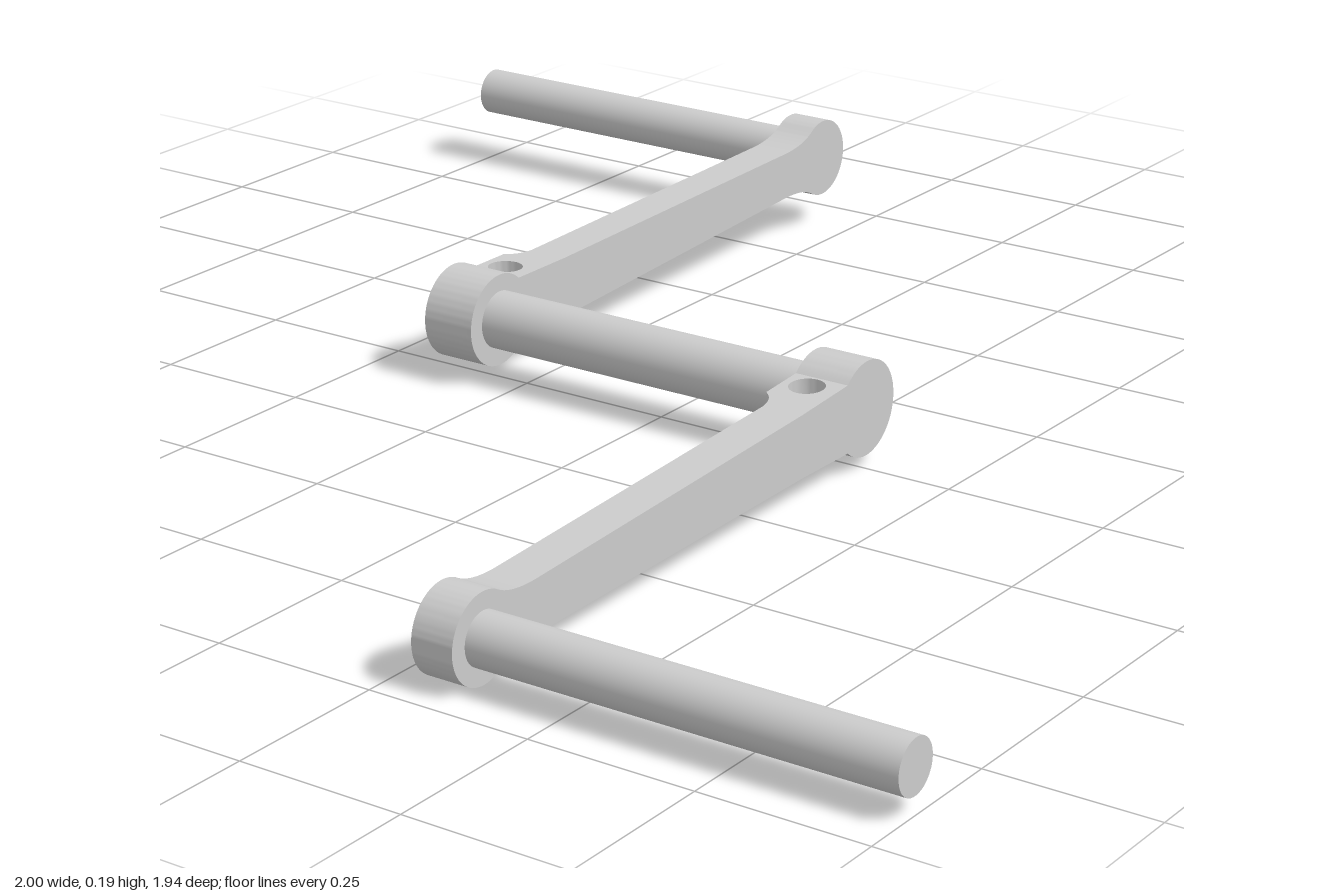
import * as THREE from 'three';
import { toCreasedNormals } from 'three/addons/utils/BufferGeometryUtils.js';

const material = new THREE.MeshStandardMaterial({ color: 0xcccccc });
const AXLE_Y = 0.094, ARM_LENGTH = 0.905, TILT = 0.031;
const HUB_R = 0.0725, END_R = 0.0645;
const OUTER_X = 0.36, HUB_X = 0.272, ARM_X = 0.295;

function add(parent, name, geometry) {
  const mesh = new THREE.Mesh(geometry, material);
  mesh.name = name;
  parent.add(mesh);
  return mesh;
}

// Side profile drawn in (z, y), extruded from innerX out to OUTER_X
function sideExtrude(shape, innerX) {
  const g = new THREE.ExtrudeGeometry(shape, { depth: OUTER_X - innerX, bevelEnabled: false, curveSegments: 28 });
  g.rotateY(-Math.PI / 2).translate(OUTER_X, 0, 0);
  return toCreasedNormals(g, 0.4);
}

// Round bar along x
function bar(parent, name, x0, x1, radius, y, z) {
  const g = new THREE.CylinderGeometry(radius, radius, x1 - x0, 48).rotateZ(Math.PI / 2);
  add(parent, name, g).position.set((x0 + x1) / 2, y, z);
}

// Crank arm running from the axle (local origin) along +z
function crankArm(name) {
  const arm = new THREE.Group();
  arm.name = name;

  // Rounded hub end, up to the drilled block
  const z0 = 0.05, z1 = 0.17;
  const h0 = Math.sqrt(HUB_R ** 2 - z0 ** 2), h1 = 0.048;
  const a0 = Math.atan2(h0, z0);
  const hub = new THREE.Shape();
  hub.absarc(0, 0, HUB_R, a0, 2 * Math.PI - a0, false);
  hub.closePath();
  add(arm, 'axleHub', sideExtrude(hub, HUB_X));

  // Drilled block, stepping in to the thinner arm; its height tapers along z
  const plan = new THREE.Shape();
  plan.moveTo(HUB_X, z0);
  plan.lineTo(OUTER_X, z0);
  plan.lineTo(OUTER_X, z1);
  plan.lineTo(ARM_X, z1);
  plan.quadraticCurveTo(ARM_X - 0.002, 0.142, HUB_X, 0.127);
  plan.closePath();
  const hole = new THREE.Path();
  hole.absarc(0.311, 0.081, 0.027, 0, 2 * Math.PI, true);
  plan.holes.push(hole);
  const block = new THREE.ExtrudeGeometry(plan, { depth: 2, bevelEnabled: false, curveSegments: 16 });
  block.rotateX(Math.PI / 2).translate(0, 1, 0);
  const p = block.attributes.position;
  for (let i = 0; i < p.count; i++) {
    const t = (p.getZ(i) - z0) / (z1 - z0);
    p.setY(i, p.getY(i) * THREE.MathUtils.lerp(h0, h1, t));
  }
  add(arm, 'drilledBlock', toCreasedNormals(block, 0.5));

  // Tapered beam flaring into the round handle end
  const dz = 0.035, hEnd = Math.sqrt(END_R ** 2 - dz ** 2);
  const a1 = Math.atan2(hEnd, -dz);
  const beam = new THREE.Shape();
  beam.moveTo(z1, -h1);
  beam.lineTo(0.79, -0.039);
  beam.quadraticCurveTo(0.843, -0.0385, ARM_LENGTH - dz, -hEnd);
  beam.absarc(ARM_LENGTH, 0, END_R, -a1, a1, false);
  beam.quadraticCurveTo(0.843, 0.0385, 0.79, 0.039);
  beam.lineTo(z1, h1);
  beam.closePath();
  add(arm, 'armBeam', sideExtrude(beam, ARM_X));
  return arm;
}

export function createModel() {
  const model = new THREE.Group();
  model.name = 'crankset';

  // Axle between the two arms
  bar(model, 'axle', -0.31, 0.28, 0.045, AXLE_Y + 0.001, 0);

  // Opposed arms: the second is the first turned half a revolution about the axle
  const left = crankArm('leftArm');
  left.position.set(0, AXLE_Y, 0);
  left.rotation.x = TILT;
  const right = crankArm('rightArm');
  right.position.set(-0.66, AXLE_Y, 0);
  right.rotation.x = Math.PI + TILT;
  model.add(left, right);

  // Handles at the arm ends
  const dy = ARM_LENGTH * Math.sin(TILT), dz = ARM_LENGTH * Math.cos(TILT);
  bar(model, 'leftHandle', 0.35, 1, 0.0385, AXLE_Y - dy, dz);
  bar(model, 'rightHandle', -1, -0.355, 0.0385, AXLE_Y + dy, -dz);
  return model;
}
